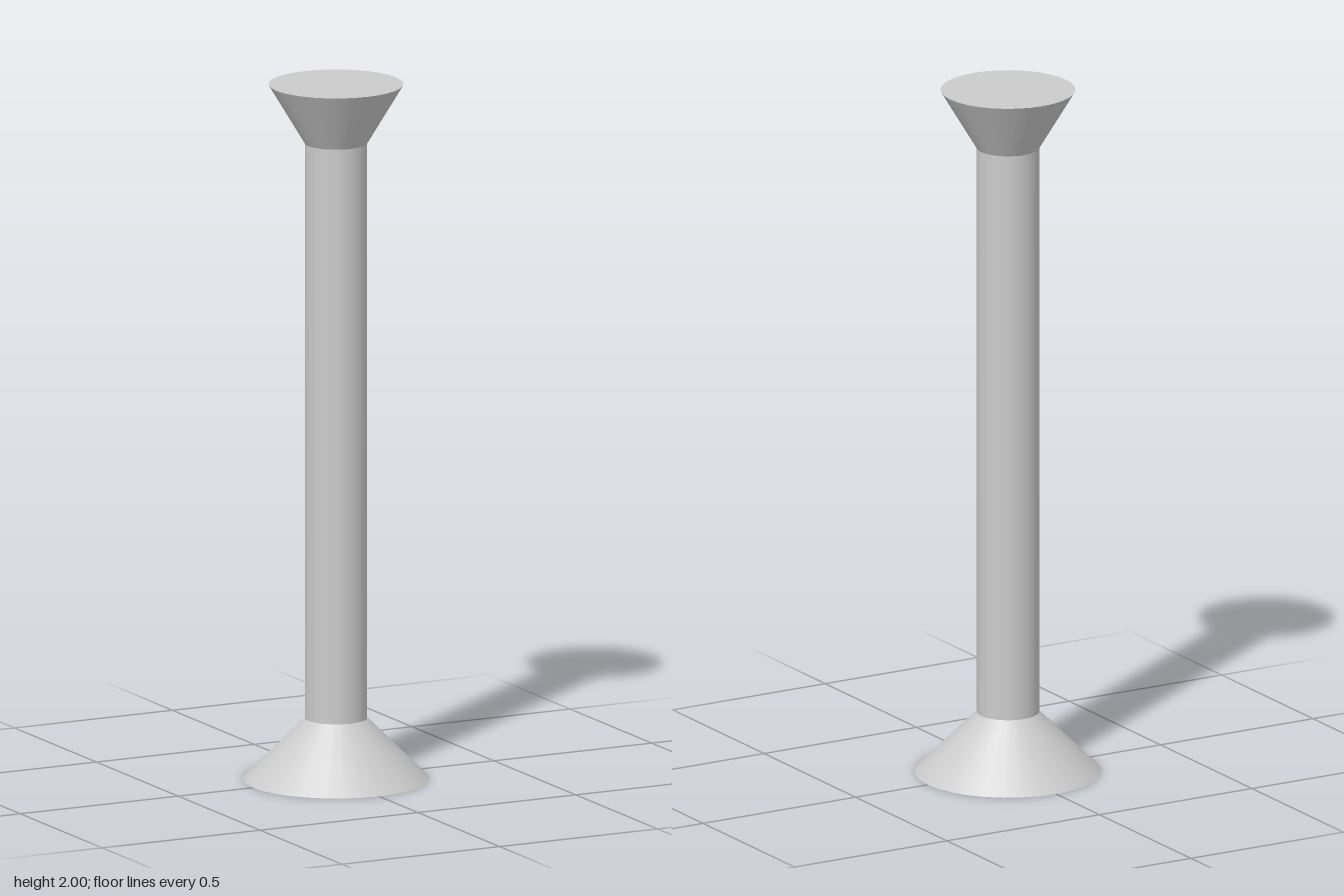
import * as THREE from 'three';

const SIDES = 32;
const SHAFT_RADIUS = 0.088;

export function createModel() {
  const model = new THREE.Group();
  model.name = 'column';
  const material = new THREE.MeshStandardMaterial({ color: 0xcccccc });

  // A round, tapered section standing between two heights
  function addSection(name, bottomY, topY, bottomRadius, topRadius, openEnded) {
    const geometry = new THREE.CylinderGeometry(
      topRadius, bottomRadius, topY - bottomY, SIDES, 1, openEnded);
    const mesh = new THREE.Mesh(geometry, material);
    mesh.name = name;
    mesh.position.y = (bottomY + topY) / 2;
    model.add(mesh);
  }

  // Flared foot, straight shaft and flared head
  addSection('base', 0, 0.175, 0.263, SHAFT_RADIUS, false);
  addSection('shaft', 0.175, 1.83, SHAFT_RADIUS, SHAFT_RADIUS, true);
  addSection('capital', 1.83, 2, SHAFT_RADIUS, 0.19, false);

  return model;
}
